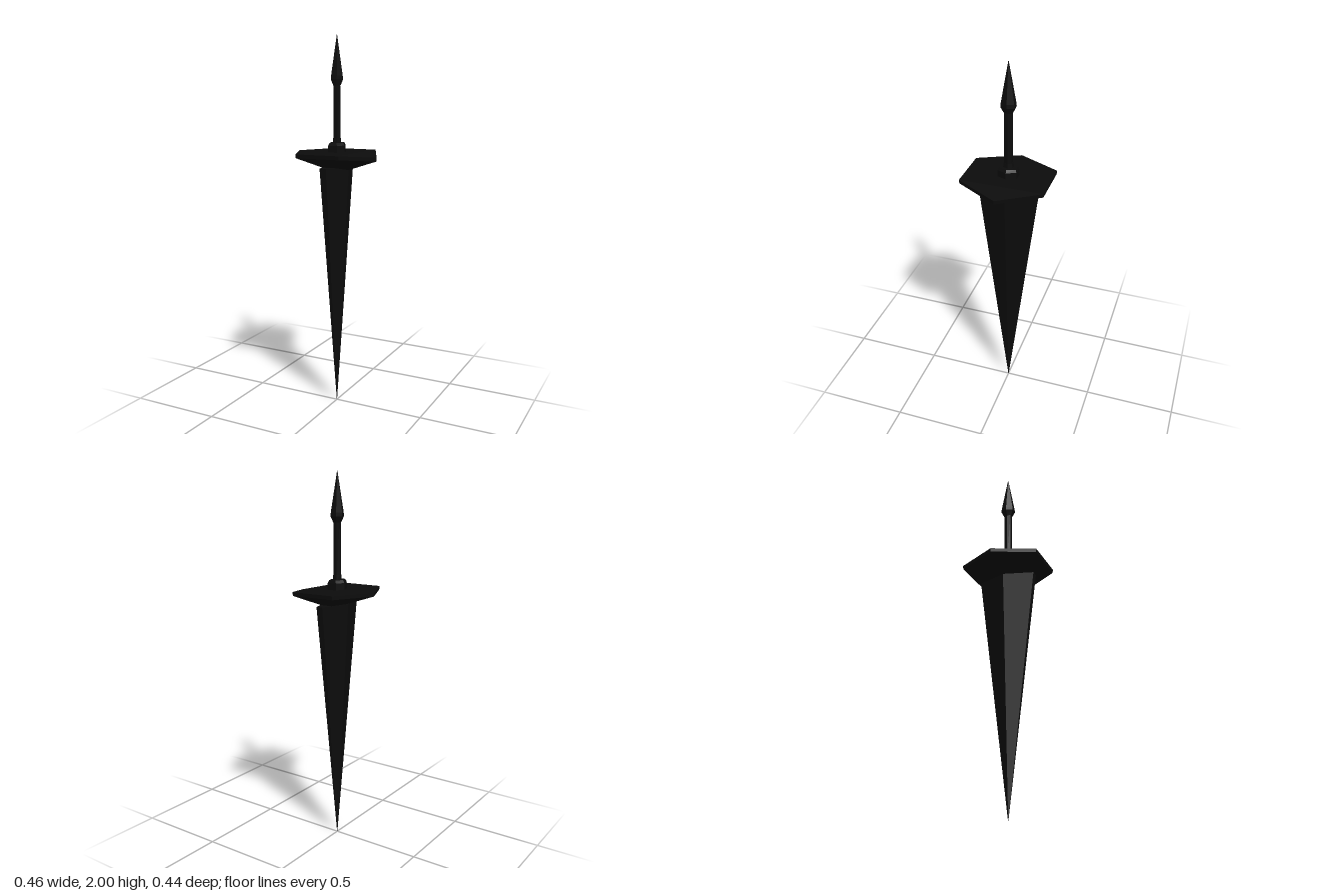
import * as THREE from 'three';

const material = new THREE.MeshStandardMaterial({ color: 0x0c0c0c, flatShading: true });

// Six corners of a level ring, counter-clockwise from above.
// tip: reach along x, side: x of the four other corners, depth: their z.
function hexRing([y, tip, side, depth], drop = 0) {
  return [
    [tip, y - drop, 0], [side, y, -depth], [-side, y, -depth],
    [-tip, y, 0], [-side, y, depth], [side, y, depth],
  ];
}

// Faceted solid through hexagonal rings listed from bottom to top.
// drop lowers the +x corner of every ring.
function hexLoft(name, rows, drop = 0) {
  const rings = rows.map((row) => hexRing(row, drop));
  const points = [];
  const tri = (a, b, c) => points.push(...a, ...b, ...c);
  for (let r = 0; r < rings.length - 1; r++) {
    const low = rings[r], high = rings[r + 1];
    for (let i = 0; i < 6; i++) {
      const j = (i + 1) % 6;
      tri(low[i], low[j], high[j]);
      tri(low[i], high[j], high[i]);
    }
  }
  // End caps, fanned from corner 1 so a dropped corner folds cleanly
  const bottom = rings[0], top = rings[rings.length - 1];
  for (let k = 2; k < 6; k++) {
    const n = (k + 1) % 6;
    tri(top[1], top[k], top[n]);
    tri(bottom[1], bottom[n], bottom[k]);
  }
  const geometry = new THREE.BufferGeometry();
  geometry.setAttribute('position', new THREE.Float32BufferAttribute(points, 3));
  geometry.computeVertexNormals();
  const mesh = new THREE.Mesh(geometry, material);
  mesh.name = name;
  return mesh;
}

export function createModel() {
  const group = new THREE.Group();
  group.name = 'dagger';

  // Broad blade tapering down to a point
  group.add(hexLoft('blade', [
    [0, 0.0006, 0.0003, 0.001],
    [1.325, 0.07, 0.018, 0.16],
  ]));

  // Wide hexagonal guard with one bent corner and a tapered underside
  group.add(hexLoft('guard', [
    [1.325, 0.06, 0.035, 0.1],
    [1.38, 0.228, 0.123, 0.22],
    [1.4, 0.23, 0.124, 0.222],
  ], 0.021));

  // Collar seating the grip on the guard
  group.add(hexLoft('collar', [
    [1.385, 0.047, 0.027, 0.052],
    [1.435, 0.045, 0.026, 0.05],
    [1.45, 0.036, 0.02, 0.045],
  ]));

  // Small step between collar and grip
  group.add(hexLoft('gripBase', [
    [1.44, 0.021, 0.012, 0.026],
    [1.475, 0.019, 0.011, 0.022],
  ]));

  group.add(hexLoft('grip', [
    [1.44, 0.019, 0.011, 0.02],
    [1.76, 0.015, 0.009, 0.02],
  ]));

  // Spear-shaped pommel
  group.add(hexLoft('pommel', [
    [1.745, 0.017, 0.01, 0.022],
    [1.775, 0.031, 0.017, 0.036],
    [1.795, 0.03, 0.0165, 0.034],
    [2, 0.001, 0.0006, 0.001],
  ]));

  return group;
}
